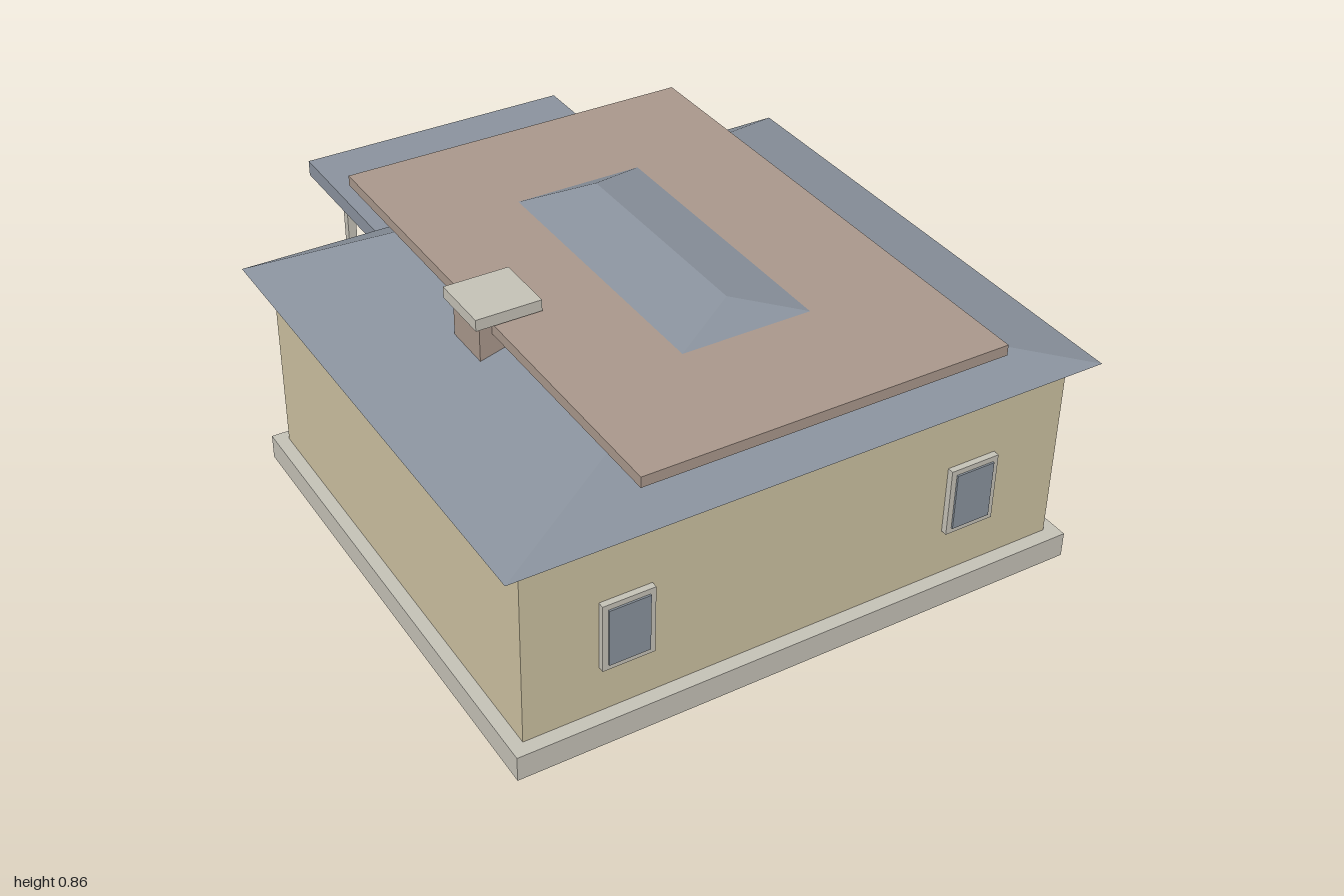
import * as THREE from 'three';

const mat = (name, color) => {
  const m = new THREE.MeshStandardMaterial({ color });
  m.name = name;
  return m;
};

export function createModel() {
  const house = new THREE.Group();
  house.name = 'house';
  const wall = mat('cream wall', 0xcabf9f);
  const stone = mat('pale stone', 0xc3c0b5);
  const slate = mat('slate roof', 0x89919c);
  const glass = mat('window glass', 0x88919b);
  const brown = mat('brown', 0xa8968a);

  // Box given by its lower and upper limits on each axis
  const box = (name, m, x0, x1, y0, y1, z0, z1, parent = house) => {
    const mesh = new THREE.Mesh(new THREE.BoxGeometry(x1 - x0, y1 - y0, z1 - z0), m);
    mesh.position.set((x0 + x1) / 2, (y0 + y1) / 2, (z0 + z1) / 2);
    mesh.name = name;
    parent.add(mesh);
    return mesh;
  };
  const part = (name) => {
    const g = new THREE.Group();
    g.name = name;
    house.add(g);
    return g;
  };

  // Body
  box('foundation', stone, -0.793, 0.793, 0.035, 0.105, -0.44, 0.965);
  box('walls', wall, -0.757, 0.757, 0.1, 0.637, -0.406, 0.926);

  // Hipped roof: a box whose top face is pinched into a ridge
  const hip = new THREE.BoxGeometry(2, 1, 2).toNonIndexed();
  const p = hip.attributes.position;
  for (let i = 0; i < p.count; i++) {
    const top = p.getY(i) > 0;
    const back = p.getZ(i) < 0;
    p.setXYZ(i, top ? 0 : p.getX(i) * 0.817, top ? 0.861 : 0.635,
      top ? (back ? -0.05 : 0.562) : (back ? -0.465 : 0.982));
  }
  hip.computeVertexNormals();
  const roof = new THREE.Mesh(hip, slate);
  roof.name = 'hippedRoof';
  house.add(roof);

  // Flat deck cutting through the roof, and the chimney
  box('roofDeck', brown, -0.496, 0.492, 0.783, 0.812, -0.48, 1.0);
  const chimney = part('chimney');
  box('chimneyStack', brown, -0.529, -0.387, 0.66, 0.817, 0.187, 0.321, chimney);
  box('chimneyCap', stone, -0.546, -0.37, 0.815, 0.846, 0.17, 0.338, chimney);

  for (const s of [-1, 1]) {
    // Front windows
    const fw = part('frontWindow');
    const fx = s * 0.487;
    box('frame', stone, fx - 0.07, fx + 0.07, 0.24, 0.433, 0.92, 0.943, fw);
    box('pane', glass, fx - 0.055, fx + 0.055, 0.256, 0.418, 0.941, 0.948, fw);

    // Back windows with four panes and a sill
    const bw = part('backWindow');
    const bx = s * 0.49;
    box('frame', stone, bx - 0.1, bx + 0.1, 0.245, 0.455, -0.435, -0.4, bw);
    box('sill', stone, bx - 0.115, bx + 0.115, 0.237, 0.259, -0.447, -0.4, bw);
    for (const ix of [-1, 1]) for (const iy of [-1, 1]) {
      const cx = bx + ix * 0.043, cy = 0.354 + iy * 0.044;
      box('pane', glass, cx - 0.037, cx + 0.037, cy - 0.038, cy + 0.038, -0.439, -0.434, bw);
    }

    // Porch posts
    box('porchPost', stone, s * 0.33 - 0.0125, s * 0.33 + 0.0125, 0.035, 0.535, -0.907, -0.882);
  }

  // Door
  const door = part('door');
  box('doorFrame', stone, -0.122, 0.122, 0.025, 0.455, -0.437, -0.4, door);
  box('doorLeaf', brown, -0.098, 0.098, 0.03, 0.435, -0.443, -0.435, door);
  box('doorPane', glass, -0.055, 0.055, 0.27, 0.4, -0.449, -0.442, door);

  // Porch
  const porch = part('porch');
  box('porchFloor', stone, -0.356, 0.356, 0, 0.038, -0.938, -0.466, porch);
  box('porchStep', stone, -0.2, 0.2, 0.012, 0.053, -0.754, -0.422, porch);
  box('porchRoof', slate, -0.4, 0.4, 0.53, 0.575, -1.0, -0.44, porch);

  return house;
}
